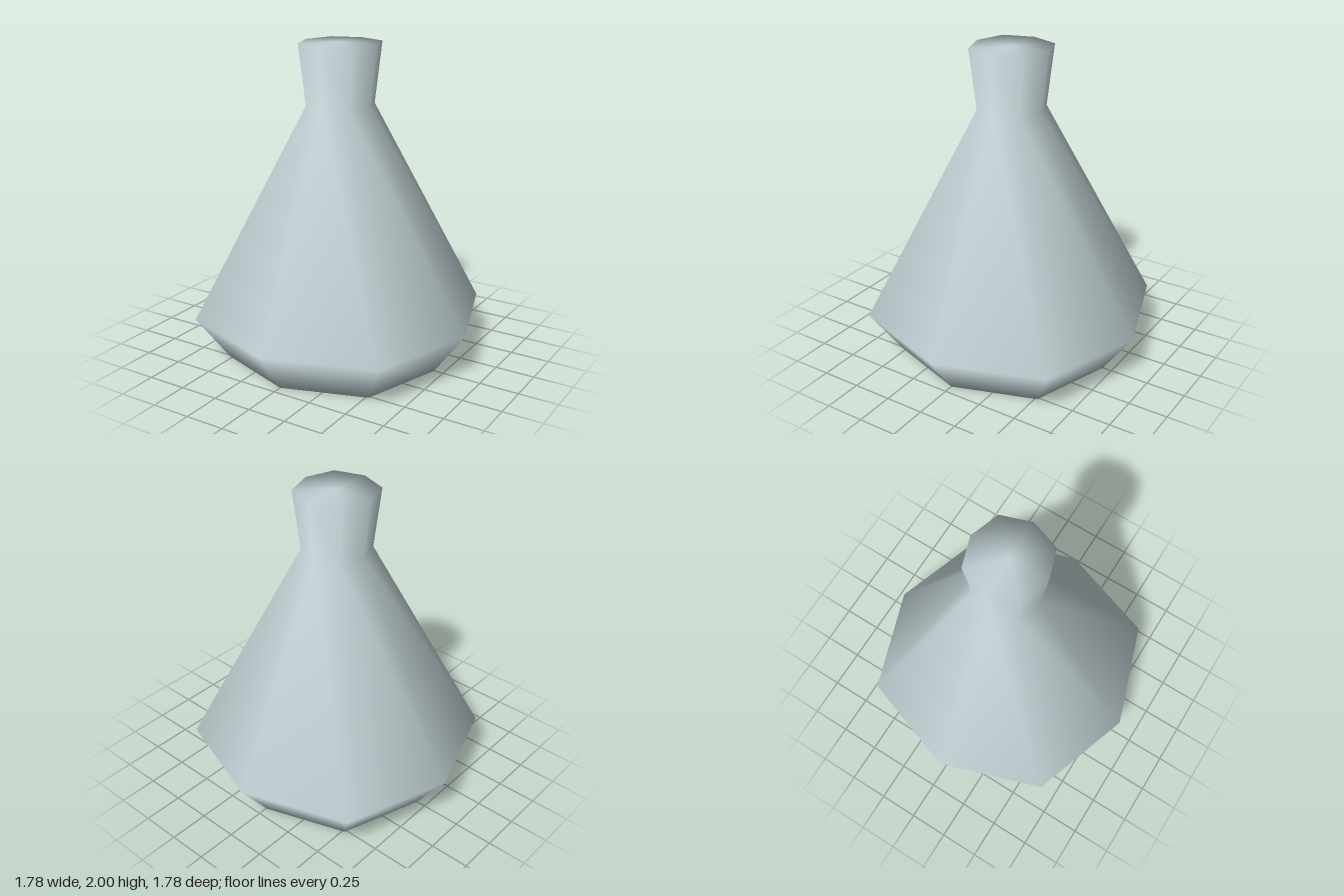
import * as THREE from 'three';
import { mergeVertices } from 'three/addons/utils/BufferGeometryUtils.js';

const SIDES = 8;
const DIAGONAL = 1.056; // the four diagonal corners sit slightly further out

export function createModel() {
  const group = new THREE.Group();
  group.name = 'flask';

  const glass = new THREE.MeshStandardMaterial({ color: 0xc3d3d6 });
  glass.name = 'pale grey glass';

  // Closed outline: base, belly, shoulder, neck, flat top
  const profile = [
    [0, 0], [0.69, 0], [0.89, 0.28], [0.205, 1.62], [0.248, 2], [0, 2],
  ].map(([r, y]) => new THREE.Vector2(r, y));

  const lathe = new THREE.LatheGeometry(profile, SIDES);
  const pos = lathe.attributes.position;
  for (let i = 0; i < pos.count; i++) {
    const x = pos.getX(i), z = pos.getZ(i);
    const k = Math.min(Math.abs(x), Math.abs(z)) > 0.01 ? DIAGONAL : 1;
    pos.setXYZ(i, x * k, pos.getY(i), z * k);
  }

  // Weld everything so shading runs smoothly over all edges, caps included
  lathe.deleteAttribute('normal');
  lathe.deleteAttribute('uv');
  const geometry = mergeVertices(lathe);
  geometry.computeVertexNormals();

  const body = new THREE.Mesh(geometry, glass);
  body.name = 'flaskBody';
  group.add(body);
  return group;
}
